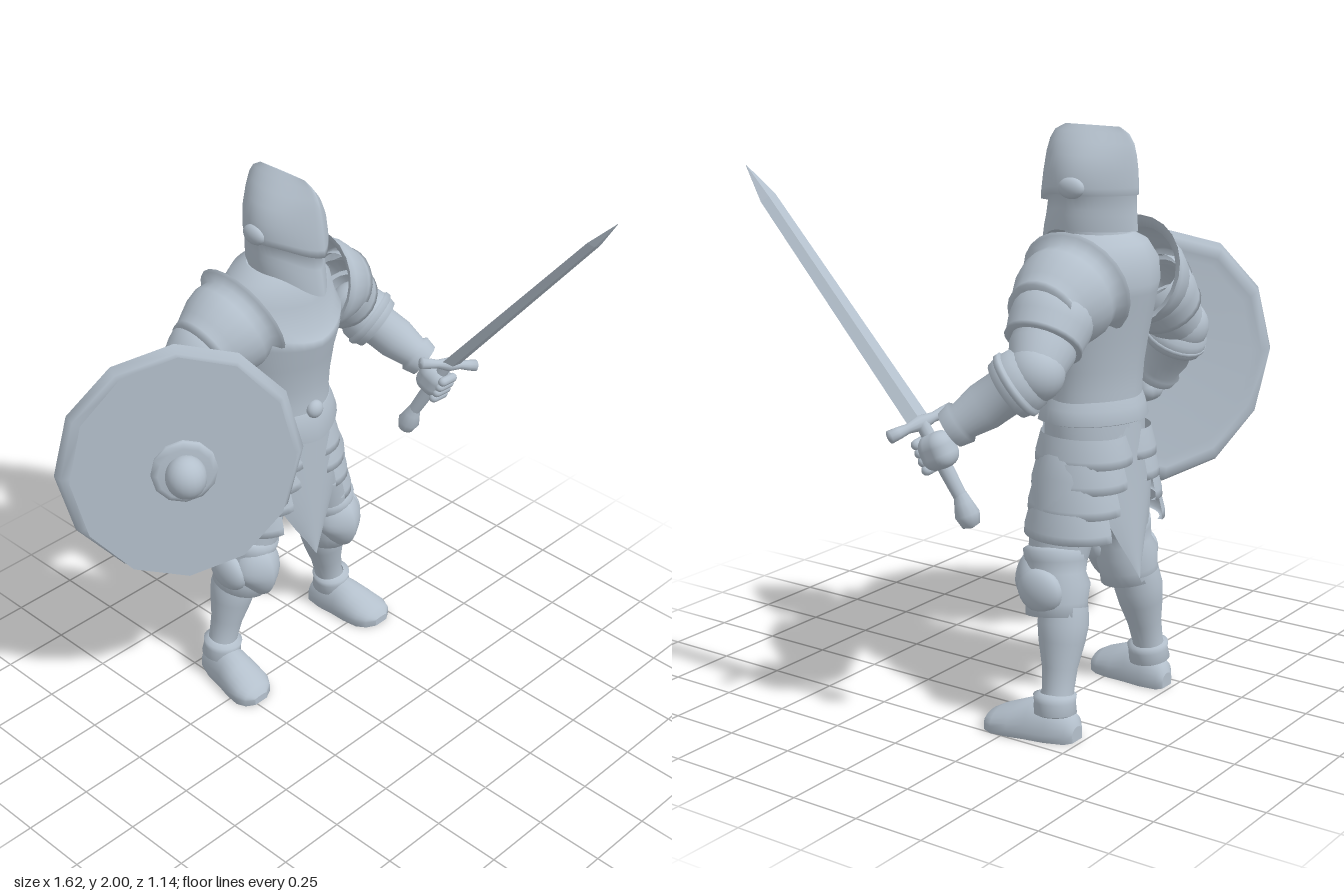
import * as THREE from 'three';
import { RoundedBoxGeometry } from 'three/addons/geometries/RoundedBoxGeometry.js';

const steel = new THREE.MeshStandardMaterial({ color: 0xb4c0cc, side: THREE.DoubleSide });
steel.name = 'pale steel';
const V = (x, y, z) => new THREE.Vector3(x, y, z);

function add(parent, name, geometry, pos) {
  const m = new THREE.Mesh(geometry, steel);
  m.name = name;
  if (pos) m.position.set(...pos);
  parent.add(m);
  return m;
}

// Skin a list of equal-length point rows; closed rows wrap round and get end caps.
function loft(rows, closed = true) {
  const n = rows[0].length, pts = rows.flat(), index = [];
  const cols = closed ? n : n - 1;
  for (let r = 0; r < rows.length - 1; r++)
    for (let i = 0; i < cols; i++) {
      const j = (i + 1) % n, a = r * n + i, b = r * n + j;
      index.push(a, b, a + n, b, b + n, a + n);
    }
  if (closed) [0, rows.length - 1].forEach((r) => {
    const c = new THREE.Vector3();
    rows[r].forEach((p) => c.addScaledVector(p, 1 / n));
    const start = pts.length;
    pts.push(...rows[r], c);
    for (let i = 0; i < n; i++) {
      const a = start + i, b = start + (i + 1) % n;
      if (r) index.push(a, b, start + n); else index.push(b, a, start + n);
    }
  });
  const g = new THREE.BufferGeometry().setFromPoints(pts);
  g.setIndex(index);
  g.computeVertexNormals();
  return g;
}

// Horizontal plate section with a keel at front and back; v drops the front centre into a V.
function plateRing([y, w, zf, zb, v = 0], keel) {
  return Array.from({ length: 40 }, (_, i) => {
    const t = (i / 40) * Math.PI * 2, c = Math.cos(t), s = Math.sin(t);
    return V(w * s, y - v * Math.max(0, c) ** 4,
      (zf + zb) / 2 + ((zf - zb) / 2) * c * (1 - keel * Math.abs(s)));
  });
}
const plate = (rings, keel) => loft(rings.map((r) => plateRing(r, keel)));

// Turned piece from a to b; profile is [radius, fraction of length].
function turned(a, b, profile, depth = 1, sides = 24) {
  const A = V(...a), dir = V(...b).sub(A), len = dir.length();
  dir.normalize();
  const x = dir.clone().cross(V(0, 0, 1)).normalize();
  const z = x.clone().cross(dir);
  const g = new THREE.LatheGeometry(profile.map(([r, t]) => new THREE.Vector2(r, t * len)), sides);
  g.scale(1, 1, depth);
  return g.applyMatrix4(new THREE.Matrix4().makeBasis(x, dir, z).setPosition(A));
}

function buildHead(body) {
  add(body, 'helmet', plate([
    [1.67, .122, -.14, -.512, .07], [1.72, .125, -.15, -.508, .055], [1.74, .122, -.157, -.506, .045],
    [1.785, .124, -.165, -.505, .04], [1.787, .136, -.138, -.512, .04], [1.81, .136, -.138, -.512, .035],
    [1.86, .131, -.146, -.51, .02], [1.91, .105, -.157, -.505], [1.95, .068, -.17, -.495],
    [1.98, .03, -.19, -.475], [2, .002, -.23, -.44],
  ], .3));
  add(body, 'neck', new THREE.CylinderGeometry(.1, .13, .16, 24), [0, 1.62, -.36]);
  for (const s of [-1, 1])
    add(body, 'visorPivot', new THREE.SphereGeometry(.035, 16, 12), [s * .13, 1.81, -.34]).scale.set(.7, 1, 1.4);
}

function buildTorso(body) {
  add(body, 'breastplate', plate([
    [1.08, .19, -.19, -.51], [1.15, .187, -.195, -.51], [1.22, .193, -.19, -.515], [1.32, .21, -.175, -.53],
    [1.42, .23, -.15, -.55, .02], [1.47, .235, -.15, -.56, .04], [1.5, .235, -.185, -.565, .05],
    [1.57, .22, -.2, -.56, .02], [1.63, .17, -.22, -.53], [1.66, .11, -.26, -.48],
  ], .12));
  add(body, 'waistPlate', plate([
    [1.04, .2, -.18, -.52, .02], [1.045, .214, -.165, -.53, .035], [1.09, .2, -.178, -.52], [1.12, .187, -.19, -.51],
  ], .1));
  add(body, 'pelvis', plate([
    [.74, .1, -.25, -.46], [.82, .17, -.22, -.5], [.95, .2, -.2, -.51], [1.08, .19, -.2, -.51],
  ], 0));
  add(body, 'buckle', new THREE.SphereGeometry(.034, 16, 12), [0, 1.13, -.19]).scale.z = .8;

  // Pointed cloths hanging front and back
  const cut = [[.5, .002], [.56, .035], [.64, .085], [.72, .13], [.8, .15], [.9, .138], [1.04, .1]];
  for (const [name, z, bulge, top] of [['frontCloth', -.185, -.045, 0], ['backCloth', -.54, .04, .03]])
    add(body, name, loft(cut.map(([y, w], r) => Array.from({ length: 11 }, (_, i) => {
      const u = i / 5 - 1;
      return V(u * w, y, z + bulge * u * u * w / .15 + top * r / 6);
    })), false));
}

function buildLeg(body, s) {
  const leg = new THREE.Group();
  leg.name = s > 0 ? 'leftLeg' : 'rightLeg';
  body.add(leg);
  add(leg, 'thigh', turned([s * .2, .55, -.335], [s * .12, .92, -.35], [[.085, 0], [.1, .35], [.115, .8], [.1, 1]], 1.15));

  // Overlapping hip lames wrapped around the outside of the thigh
  for (let k = 0; k < 4; k++) {
    const y = 1.0 - .08 * k, half = 2 - .19 * k, cx = .075 + .021 * k;
    const rows = [[y - .1, .128], [y - .098, .148], [y - .07, .146], [y, .128]];
    add(leg, 'hipLame', loft(rows.map(([h, w]) => Array.from({ length: 19 }, (_, i) => {
      const a = -s * half * (i / 9 - 1) * -1;
      return V(s * (cx + w * Math.cos(a)), h, -.36 - (w + .022) * Math.sin(a));
    })), false));
  }

  add(leg, 'kneeGuard', turned([s * .23, .4, -.36], [s * .195, .63, -.33],
    [[.075, 0], [.1, .02], [.098, .2], [.108, .45], [.094, .62], [.1, .8], [.104, .95], [.085, 1]], 1.08));
  // Knee cap: an egg drawn down to a point, with a keel
  const cap = new THREE.SphereGeometry(1, 24, 16), p = cap.attributes.position;
  for (let i = 0; i < p.count; i++) {
    const y = p.getY(i), x = p.getX(i);
    p.setX(i, x * (y < 0 ? 1 + .55 * y : 1));
    p.setZ(i, p.getZ(i) * (1 - .25 * Math.abs(x)));
  }
  cap.computeVertexNormals();
  add(leg, 'kneeCap', cap, [s * .215, .5, -.285]).scale.set(.098, .115, .095);
  add(leg, 'kneeWing', new THREE.SphereGeometry(1, 20, 14), [s * .3, .5, -.34]).scale.set(.045, .075, .085);

  add(leg, 'greave', turned([s * .297, .1, -.405], [s * .222, .44, -.385],
    [[.06, 0], [.054, .18], [.06, .4], [.078, .65], [.086, .82], [.08, 1]]));
  add(leg, 'ankleCuff', turned([s * .3, .08, -.4], [s * .292, .155, -.395],
    [[.06, 0], [.074, .1], [.07, .6], [.073, .9], [.05, 1]]));

  const sections = [[-.482, .03, .05], [-.465, .055, .09], [-.4, .072, .13], [-.33, .076, .13],
    [-.27, .084, .105], [-.21, .084, .08], [-.175, .065, .06], [-.155, .03, .03]];
  add(leg, 'boot', loft(sections.map(([z, w, h]) => Array.from({ length: 24 }, (_, i) => {
    const a = (i / 24) * Math.PI * 2, up = Math.sin(a);
    const y = up > -.25 ? .025 + (h - .025) * up : 0;
    return V(s * (.293 + (z + .44) * .13) + w * Math.cos(a), Math.max(0, y), z);
  }))));
}

function buildArm(body, s) {
  const arm = new THREE.Group();
  arm.name = s > 0 ? 'leftArm' : 'rightArm';
  body.add(arm);
  add(arm, 'pauldron', turned([s * .165, 1.5, -.38], [s * .345, 1.43, -.385],
    [[.195, -.05], [.188, 0], [.163, .1], [.168, .3], [.16, .55], [.142, .78], [.128, .95], [.126, 1.06], [.09, 1.05]], 1.02));
  add(arm, 'shoulderLame', turned([s * .27, 1.47, -.39], [s * .375, 1.35, -.4],
    [[.1, 0], [.13, .25], [.13, .6], [.122, .9], [.124, 1], [.09, 1]], 1.05));
  add(arm, 'upperArm', turned([s * .3, 1.43, -.39], [s * .45, 1.27, -.42], [[.1, 0], [.108, .6], [.085, 1]]));
  add(arm, 'elbowGuard', new THREE.SphereGeometry(.095, 24, 16), [s * .445, 1.275, -.42]);

  // The left forearm reaches forward to the sword, the right one hangs behind the shield
  const elbow = [s * .44, 1.28, -.42];
  const wrist = s > 0 ? [.575, 1.085, -.185] : [-.46, 1.07, -.31];
  const L = s > 0 ? 1 : 1.05;
  add(arm, 'forearm', turned(elbow, wrist,
    [[.08, 0], [.104, .1], [.108, .24], [.1, .34], [.078, .36], [.078, .6], [.062, .84], [.074, .87], [.064, 1]].map(([r, t]) => [r * L, t])));
  add(arm, 'elbowRim', turned(elbow, wrist, [[.09, .14], [.114, .2], [.114, .25], [.09, .3]]));
  const hand = new THREE.Group();
  hand.name = 'gauntlet';
  hand.position.set(...(s > 0 ? [.592, 1.015, -.15] : [-.46, 1.04, -.27]));
  hand.rotation.set(.4, s > 0 ? 0 : -.58, s > 0 ? -.1 : 0);
  arm.add(hand);
  add(hand, 'palm', new RoundedBoxGeometry(.105, .12, .12, 4, .045));
  for (let i = 0; i < 4; i++) {
    const f = add(hand, 'finger', new THREE.CapsuleGeometry(.018, .055, 4, 10), [0, .042 - i * .029, .052]);
    f.rotation.z = Math.PI / 2;
  }
}

function buildSword(root) {
  const sword = new THREE.Group();
  sword.name = 'sword';
  root.add(sword);
  const guard = V(.7, 1.095, -.085), tip = V(.77, 1.875, .56);
  const dir = tip.clone().sub(guard), wide = V(.22, -.07, .1);
  wide.addScaledVector(dir, -wide.dot(dir) / dir.lengthSq()).normalize();
  const thin = dir.clone().cross(wide).normalize();
  // Diamond-section blade
  const blade = loft([[0, .038, .016], [.87, .029, .012], [1, .001, .001]].map(([t, w, d]) =>
    [[1, 0], [0, -1], [-1, 0], [0, 1]].map(([u, v]) =>
      guard.clone().addScaledVector(dir, t).addScaledVector(wide, u * w).addScaledVector(thin, v * d)))).toNonIndexed();
  blade.computeVertexNormals();
  add(sword, 'blade', blade);
  add(sword, 'crossguard', turned([.592, 1.13, -.132], [.808, 1.065, -.042],
    [[0, 0], [.022, .02], [.02, .15], [.016, .3], [.026, .5], [.016, .7], [.02, .85], [.022, .98], [0, 1]], 1, 12));
  add(sword, 'grip', turned([.655, .84, -.225], [.7, 1.1, -.09], [[.022, 0], [.026, .4], [.022, 1]], 1, 12));
  add(sword, 'pommel', turned([.65, .765, -.25], [.66, .875, -.21],
    [[0, 0], [.03, .08], [.042, .4], [.03, .75], [.022, 1]], 1, 12));
}

function buildShield(root) {
  const shield = new THREE.Group();
  shield.name = 'shield';
  shield.position.set(-.45, 1.125, -.29);
  shield.rotation.y = -.584;
  root.add(shield);
  const round = (profile) => new THREE.LatheGeometry(profile.map((p) => new THREE.Vector2(...p)), 12).rotateX(Math.PI / 2);
  const board = add(shield, 'board', round([[0, -.012], [.37, -.018], [.4, -.035], [.44, -.03], [.46, 0],
    [.44, .032], [.4, .032], [.37, .015], [0, .02]]));
  board.scale.x = .93;
  const face = add(shield, 'facePlate', new THREE.CircleGeometry(.435, 12), [.005, 0, .06]);
  face.scale.x = .89;
  face.rotation.x = -.03;
  const flange = add(shield, 'bossFlange', round([[.12, .05], [.122, .07], [.1, .082], [0, .085]]), [.005, 0, 0]);
  flange.scale.x = .95;
  add(shield, 'boss', new THREE.SphereGeometry(.075, 20, 14), [.005, 0, .1]).scale.set(.95, 1.05, .95);
}

export function createModel() {
  const root = new THREE.Group();
  root.name = 'armouredKnight';
  const body = new THREE.Group();
  body.name = 'body';
  body.position.x = .1;
  root.add(body);
  buildHead(body);
  buildTorso(body);
  for (const s of [1, -1]) {
    buildLeg(body, s);
    buildArm(body, s);
  }
  buildSword(root);
  buildShield(root);
  return root;
}
